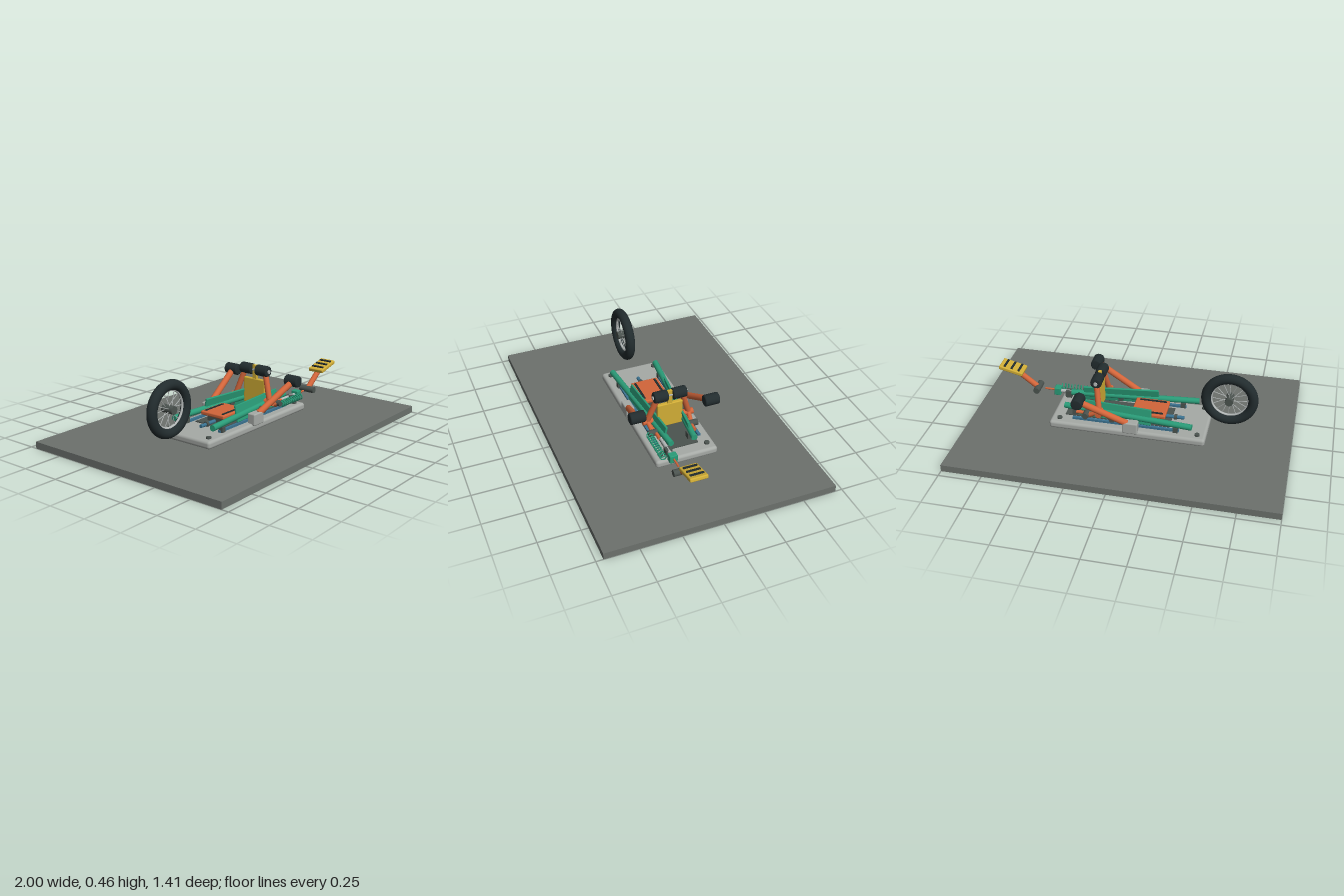
import * as THREE from 'three';
import { RoundedBoxGeometry } from 'three/addons/geometries/RoundedBoxGeometry.js';

const mat = (name, color) => {
  const m = new THREE.MeshStandardMaterial({ color });
  m.name = name;
  return m;
};

export function createModel() {
  const root = new THREE.Group();
  root.name = 'trainingRig';
  const floorGrey = mat('floorGrey', 0x6c716d);
  const plateGrey = mat('plateGrey', 0xa6aaa6);
  const silver = mat('silver', 0xb4b9b8);
  const green = mat('green', 0x2a9c78);
  const orange = mat('orange', 0xd2653a);
  const yellow = mat('yellow', 0xd2ae36);
  const rubber = mat('rubber', 0x222c2e);
  const steel = mat('darkSteel', 0x4b534f);
  const blue = mat('blue', 0x3b7391);

  const add = (name, geo, material, pos = [0, 0, 0], parent = root) => {
    const m = new THREE.Mesh(geo, material);
    m.name = name;
    m.position.set(...pos);
    parent.add(m);
    return m;
  };
  const box = (name, material, size, pos, parent) =>
    add(name, new THREE.BoxGeometry(...size), material, pos, parent);
  const rounded = (name, material, size, r, pos, parent) =>
    add(name, new RoundedBoxGeometry(...size, 3, r), material, pos, parent);
  // Cylinder between two points
  const rod = (name, material, a, b, r, parent = root, sides = 20) => {
    const p = new THREE.Vector3(...a), d = new THREE.Vector3(...b).sub(p);
    const m = add(name, new THREE.CylinderGeometry(r, r, d.length(), sides), material, [0, 0, 0], parent);
    m.position.copy(p).addScaledVector(d, 0.5);
    m.quaternion.setFromUnitVectors(new THREE.Vector3(0, 1, 0), d.normalize());
    return m;
  };
  // Padded roller along z with rounded rims
  const roller = (name, x, y, z0, z1, r) => {
    const h = (z1 - z0) / 2, e = 0.008;
    const pts = [[0, -h], [r - e, -h], [r - 0.002, -h + 0.003], [r, -h + e],
      [r, h - e], [r - 0.002, h - 0.003], [r - e, h], [0, h]].map(p => new THREE.Vector2(...p));
    const m = add(name, new THREE.LatheGeometry(pts, 28), rubber, [x, y, (z0 + z1) / 2]);
    m.rotation.x = Math.PI / 2;
  };

  // Floor slab and base plate
  box('floor', floorGrey, [2, 0.043, 1.414], [0, 0.0215, 0]);
  rounded('basePlate', plateGrey, [0.975, 0.05, 0.395], 0.018, [0, 0.07, 0]);
  box('recessPanel', steel, [0.66, 0.008, 0.21], [0.075, 0.097, 0]);
  for (const x of [-0.435, 0.43]) for (const z of [-0.15, 0.15])
    rod('bolt', steel, [x, 0.09, z], [x, 0.105, z], 0.016);

  // Spoked wheel
  const wheel = new THREE.Group();
  wheel.name = 'wheel';
  wheel.position.set(-0.603, 0.285, 0);
  root.add(wheel);
  add('tyre', new THREE.TorusGeometry(0.143, 0.031, 16, 56), rubber, [0, 0, 0], wheel);
  add('rim', new THREE.TorusGeometry(0.113, 0.008, 10, 48), silver, [0, 0, 0], wheel);
  rod('hub', steel, [0, 0, -0.04], [0, 0, 0.04], 0.025, wheel);
  for (let i = 0; i < 16; i++) {
    const a = i * Math.PI / 8, s = i % 2 ? 0.015 : -0.015;
    rod('spoke', silver, [0.022 * Math.cos(a), 0.022 * Math.sin(a), s],
      [0.113 * Math.cos(a), 0.113 * Math.sin(a), 0], 0.0025, wheel, 6);
  }

  // Centre slide and sliding pad
  rod('centreRod', blue, [-0.33, 0.108, 0], [-0.2, 0.108, 0], 0.011);
  rod('centreCollar', steel, [-0.285, 0.108, 0], [-0.268, 0.108, 0], 0.018);
  const pad = new THREE.Group();
  pad.name = 'pad';
  pad.position.set(-0.117, 0.15, 0);
  root.add(pad);
  rounded('padBody', orange, [0.215, 0.025, 0.18], 0.008, [0, 0, 0], pad);
  for (const z of [-0.066, 0.066]) box('padSlot', rubber, [0.17, 0.006, 0.014], [-0.005, 0.013, z], pad);
  box('padCarriage', steel, [0.16, 0.04, 0.12], [-0.117, 0.12, 0]);

  // Parts repeated on both sides
  for (const s of [1, -1]) {
    rod('frameTube', green, [-0.4, 0.147, 0.15 * s], [0.415, 0.147, 0.075 * s], 0.019);
    box('guideRail', blue, [0.67, 0.014, 0.018], [0.015, 0.102, 0.135 * s]);
    const panel = rounded('sidePanel', green, [0.48, 0.105, 0.014], 0.004, [0.095, 0.157, 0.1 * s]);
    panel.rotation.set(-0.2 * s, 0.092 * s, 0);
    box('tubeBlock', steel, [0.035, 0.045, 0.045], [0.345, 0.118, 0.078 * s]);
    box('rearTubeBlock', steel, [0.03, 0.035, 0.03], [-0.3, 0.112, 0.14 * s]);
    // Side arm with roller
    rounded('armBracket', plateGrey, [0.095, 0.075, 0.055], 0.008, [-0.027, 0.12, 0.182 * s]);
    rod('sideArm', orange, [-0.005, 0.145, 0.187 * s], [0.28, 0.292, 0.238 * s], 0.02);
    roller('sideRoller', 0.282, 0.295, 0.238 * s - 0.048, 0.238 * s + 0.048, 0.036);
    // Mast legs and their feet
    rod('mastLeg', orange, [0.207, 0.335, 0.08 * s], [0.18, 0.165, 0.135 * s], 0.018);
    rod('mastFoot', orange, [0.18, 0.165, 0.135 * s], [0.265, 0.12, 0.125 * s], 0.014);
    rod('mastCross', orange, [0.18, 0.16, 0.1 * s], [0.18, 0.16, 0.165 * s], 0.02);
    rod('linkRod', orange, [0.06, 0.135, 0.115 * s], [0.33, 0.135, 0.115 * s], 0.011);
    for (const x of [0.095, 0.265])
      rod('pivot', steel, [x, 0.135, 0.09 * s], [x, 0.135, 0.16 * s], 0.02);
    roller('topRoller', 0.207, 0.346, 0.06 * s - 0.045, 0.06 * s + 0.045, 0.035);
  }
  rod('topAxle', silver, [0.207, 0.346, -0.112], [0.207, 0.346, 0.112], 0.012);
  rounded('backPlate', yellow, [0.026, 0.165, 0.165], 0.006, [0.207, 0.205, 0]);
  box('backPlateTab', yellow, [0.02, 0.1, 0.03], [0.207, 0.325, 0]);

  // Spring and push rod
  const coil = [];
  for (let i = 0; i <= 160; i++) {
    const a = i / 160 * Math.PI * 2 * 11;
    coil.push(new THREE.Vector3(0.27 + 0.23 * i / 160, 0.13 + 0.019 * Math.cos(a), 0.157 + 0.017 * Math.sin(a)));
  }
  add('spring', new THREE.TubeGeometry(new THREE.CatmullRomCurve3(coil), 320, 0.004, 6), green);
  rod('damperRod', silver, [0.33, 0.13, 0.105], [0.5, 0.13, 0.105], 0.011);
  box('damperBlock', steel, [0.04, 0.045, 0.04], [0.44, 0.118, 0.105]);
  rounded('rodBlock', green, [0.042, 0.052, 0.05], 0.005, [0.514, 0.13, 0.107]);
  rod('pushRod', orange, [0.53, 0.132, 0.107], [0.6, 0.132, 0.107], 0.006);

  // Pedal with crank arm
  rod('pedalPivot', steel, [0.647, 0.134, 0.055], [0.647, 0.134, 0.16], 0.021);
  rod('pedalArm', orange, [0.65, 0.136, 0.107], [0.772, 0.23, 0.107], 0.018);
  const pedal = new THREE.Group();
  pedal.name = 'pedal';
  pedal.position.set(0.813, 0.26, 0.109);
  pedal.rotation.z = 0.24;
  root.add(pedal);
  rounded('pedalPlate', yellow, [0.16, 0.025, 0.11], 0.007, [0, 0, 0], pedal);
  for (const x of [-0.047, 0, 0.047]) box('pedalGrip', rubber, [0.013, 0.009, 0.085], [x, 0.015, 0], pedal);
  return root;
}
